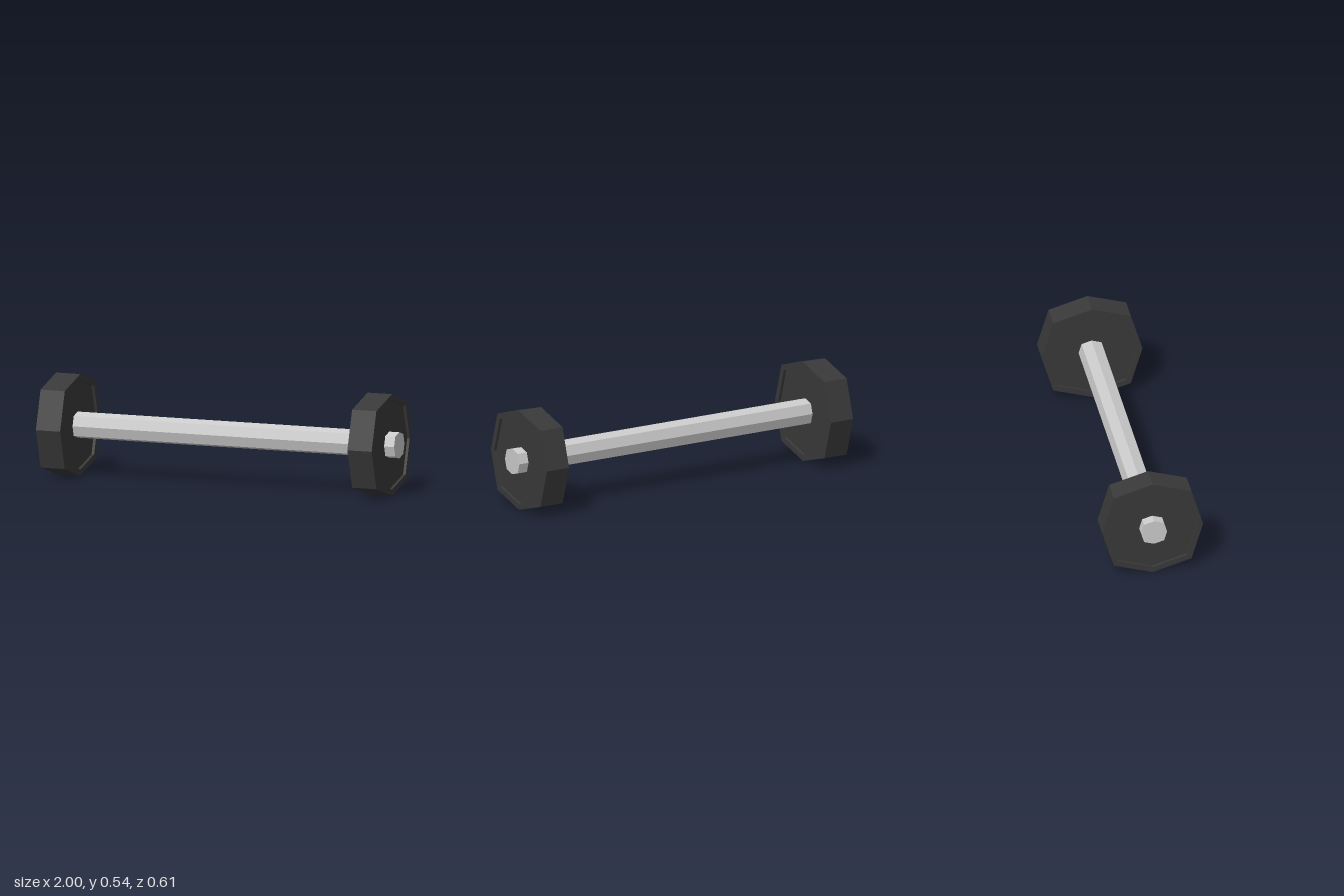
import * as THREE from 'three';

const steel = new THREE.MeshStandardMaterial({ color: 0xcccccc, flatShading: true });
const rubber = new THREE.MeshStandardMaterial({ color: 0x393939, flatShading: true });

// Eight-sided solid of revolution along x; the diagonal corners are pushed out a little.
function octagonSolid(name, profile, material) {
  const geometry = new THREE.LatheGeometry(profile.map(([r, h]) => new THREE.Vector2(r, h)), 8);
  const p = geometry.attributes.position;
  for (let i = 0; i < p.count; i++) {
    const s = 1 + 0.087 * Math.sin(2 * Math.atan2(p.getZ(i), p.getX(i))) ** 2;
    p.setX(i, p.getX(i) * s);
    p.setZ(i, p.getZ(i) * s);
  }
  geometry.rotateZ(-Math.PI / 2);
  const flat = geometry.toNonIndexed();
  flat.computeVertexNormals();
  const mesh = new THREE.Mesh(flat, material);
  mesh.name = name;
  return mesh;
}

export function createModel() {
  const model = new THREE.Group();
  model.name = 'dumbbell';

  // The whole weight lies slightly turned about the vertical
  const body = new THREE.Group();
  body.name = 'body';
  body.position.y = 0.268;
  body.rotation.y = -0.038;
  model.add(body);

  // Bar running through both plates
  const L = 0.997, R = 0.069;
  body.add(octagonSolid('bar', [[0, -L], [R, -L], [R, L], [0, L]], steel));

  // Plates with a raised rim around a recessed face on both sides
  const half = 0.069, face = 0.054, outer = 0.268, inner = 0.237;
  const profile = [
    [0, -face], [inner, -face], [inner, -half], [outer, -half],
    [outer, half], [inner, half], [inner, face], [0, face],
  ];
  for (const [name, side] of [['leftPlate', 1], ['rightPlate', -1]]) {
    const plate = octagonSolid(name, profile, rubber);
    plate.position.x = side * 0.886;
    body.add(plate);
  }
  return model;
}
